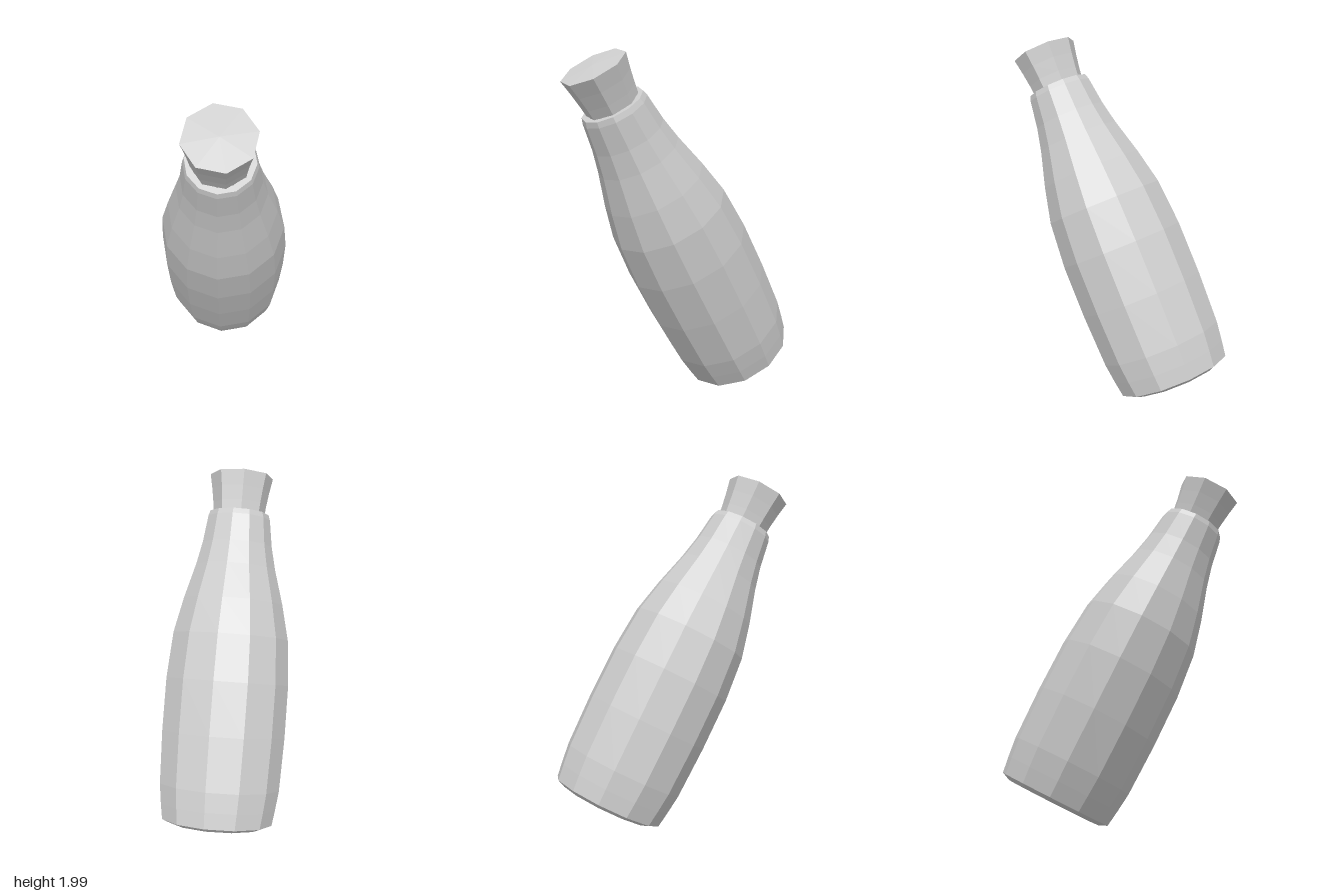
import * as THREE from 'three';

const material = new THREE.MeshStandardMaterial({ color: 0xcccccc, flatShading: true });

// Low-poly turned part; profile is [radius, height] from bottom to top
function turned(name, profile, sides, phase = 0) {
  const points = profile.map(([r, h]) => new THREE.Vector2(r, h));
  const mesh = new THREE.Mesh(new THREE.LatheGeometry(points, sides, phase), material);
  mesh.name = name;
  return mesh;
}

export function createModel() {
  const bottle = new THREE.Group();
  bottle.name = 'bottle';

  // Body with bevelled base, swelling belly, tapering shoulder and small lip
  bottle.add(turned('body', [
    [0, -0.02], [0.275, -0.02], [0.322, 0], [0.336, 0.09], [0.35, 0.2],
    [0.36, 0.5], [0.359, 0.8], [0.338, 1.06], [0.292, 1.26], [0.235, 1.46],
    [0.206, 1.59], [0.184, 1.745], [0.174, 1.775], [0.14, 1.775],
  ], 12));

  // Flared cap with a flat top
  bottle.add(turned('cap', [
    [0.146, 1.76], [0.154, 1.83], [0.166, 1.91], [0.182, 1.995], [0, 2.005],
  ], 8));

  // Lean the whole bottle along its axis
  const axis = new THREE.Vector3(-0.82, 1.77, 0.54).normalize();
  bottle.quaternion.setFromUnitVectors(new THREE.Vector3(0, 1, 0), axis);
  bottle.position.set(0.34, 0.16, -0.2);

  const model = new THREE.Group();
  model.name = 'leaningBottle';
  model.add(bottle);
  return model;
}
